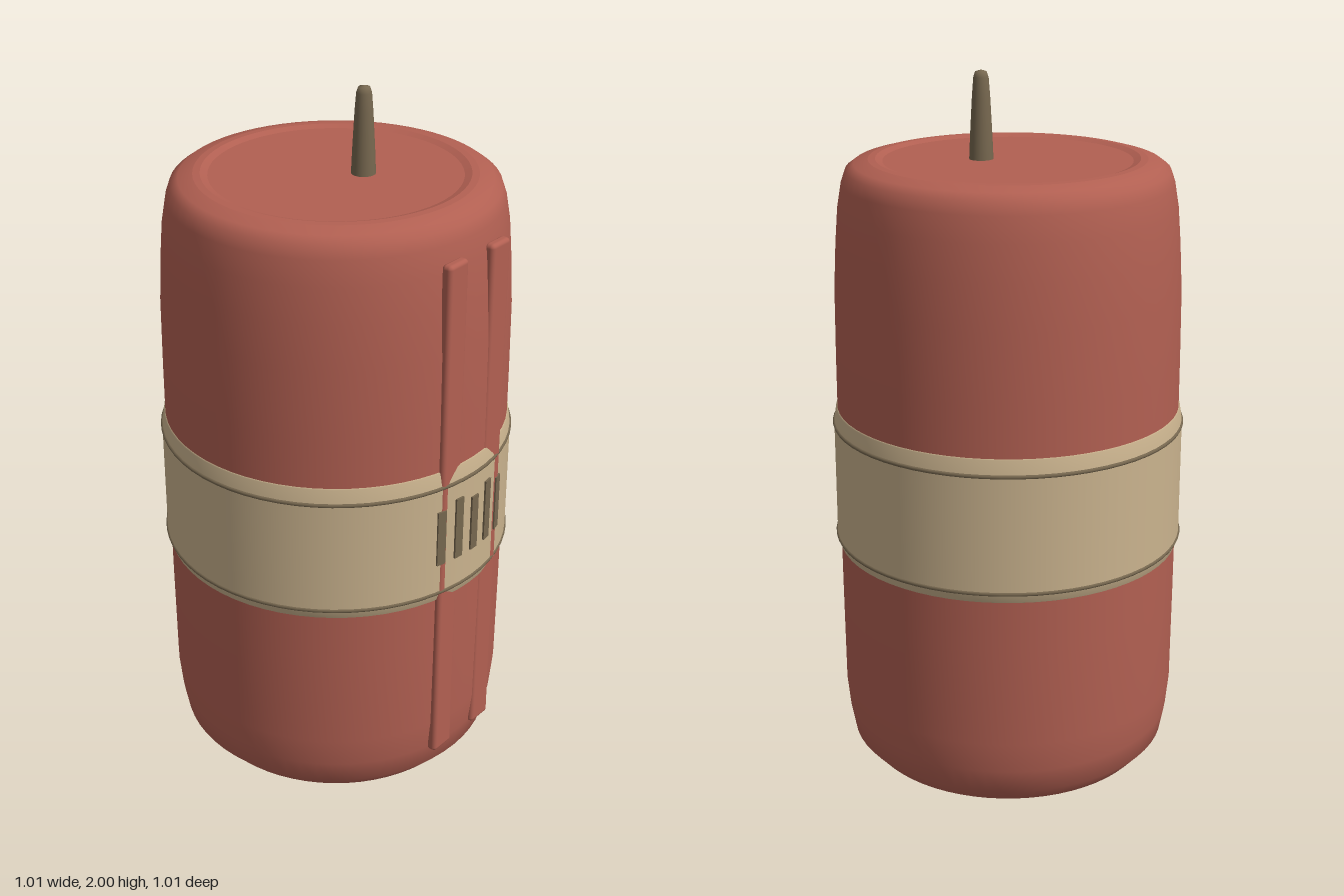
import * as THREE from 'three';
import { RoundedBoxGeometry } from 'three/addons/geometries/RoundedBoxGeometry.js';

const mat = (name, color) => Object.assign(new THREE.MeshStandardMaterial({ color }), { name });

export function createModel() {
  const model = new THREE.Group();
  model.name = 'canister';
  const red = mat('brick red', 0xb26052);
  const tan = mat('tan', 0xcab38e);
  const brown = mat('dull brown', 0x76674f);

  const add = (name, geometry, material, x = 0, y = 0, z = 0) => {
    const mesh = new THREE.Mesh(geometry, material);
    mesh.name = name;
    mesh.position.set(x, y, z);
    model.add(mesh);
    return mesh;
  };
  // Profile points run upwards as [radius, height]
  const lathe = (points, segments = 64) =>
    new THREE.LatheGeometry(points.map(([r, y]) => new THREE.Vector2(r, y)), segments);

  // Barrel body with softly rounded shoulders and flat ends
  add('body', lathe([
    [0.42, 0], [0.465, 0.05], [0.478, 0.12], [0.487, 0.21], [0.489, 0.5], [0.49, 0.85],
    [0.489, 1.2], [0.487, 1.4], [0.48, 1.53], [0.472, 1.63], [0.46, 1.7], [0.448, 1.735],
    [0.425, 1.752], [0.385, 1.763],
  ]), red);
  add('topRim', lathe([[0.385, 1.763], [0.365, 1.764]]), red);
  add('topBevel', lathe([[0.365, 1.764], [0.345, 1.757]]), red);
  add('topCap', new THREE.CircleGeometry(0.345, 64).rotateX(-Math.PI / 2), red, 0, 1.757);
  add('bottomCap', new THREE.CircleGeometry(0.42, 64).rotateX(Math.PI / 2), red);

  // Waist band with bevelled lips and two dark trim rings
  add('bandWall', lathe([[0.5, 0.675], [0.5, 1.01]]), tan);
  add('lowerLip', lathe([[0.488, 0.645], [0.493, 0.648], [0.5, 0.675]]), tan);
  add('upperLip', lathe([[0.5, 1.01], [0.493, 1.057], [0.488, 1.06]]), tan);
  for (const y of [0.675, 1.012]) {
    add('trimRing', new THREE.TorusGeometry(0.498, 0.006, 8, 64).rotateX(Math.PI / 2), brown, 0, y);
  }

  // Two long rails set into the front
  for (const x of [-0.087, 0.093]) {
    add('frontRail', new RoundedBoxGeometry(0.08, 1.55, 0.032, 2, 0.012), red, x, 0.885, 0.472);
  }

  // Five thin slots following the curve of the band
  for (let i = -2; i <= 2; i++) {
    const angle = i * 0.127;
    const height = i % 2 ? 0.19 : 0.17;
    const slot = add('slot', new THREE.BoxGeometry(0.028, height, 0.006), brown,
      Math.sin(angle) * 0.502, 0.77 + height / 2, Math.cos(angle) * 0.502);
    slot.rotation.y = angle;
  }

  // Tapered peg standing off-centre on the lid
  add('peg', lathe([
    [0.034, 1.75], [0.031, 1.82], [0.025, 1.93], [0.021, 1.98], [0.016, 1.995], [0, 2],
  ], 20), brown, 0.043, 0, 0.06);

  return model;
}
